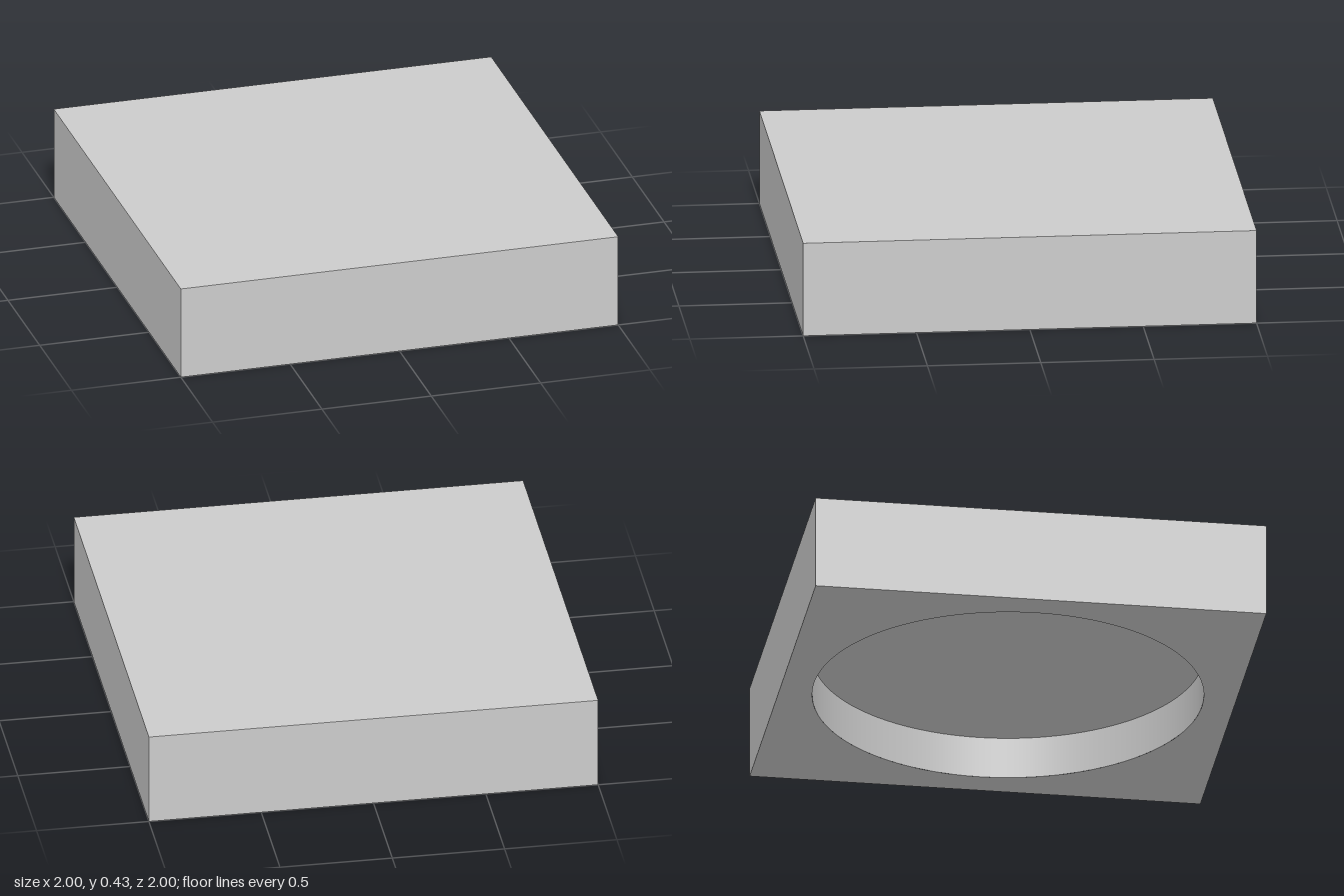
import * as THREE from 'three';

const HEIGHT = 0.425, RADIUS = 0.86, DEPTH = 0.19, RISE = 0.03, SEGMENTS = 96;

export function createModel() {
  const group = new THREE.Group();
  const material = new THREE.MeshStandardMaterial({ color: 0xcccccc });
  const add = (name, geometry) => {
    const mesh = new THREE.Mesh(geometry, material);
    mesh.name = name;
    group.add(mesh);
  };

  // Square block: top and four sides, with its bottom face left out
  const block = new THREE.BoxGeometry(2, HEIGHT, 2).translate(0, HEIGHT / 2, 0);
  const index = Array.from(block.index.array);
  index.splice(18, 6);
  block.setIndex(index);
  block.clearGroups();
  add('blockBody', block);

  // Underside with the round opening
  const face = new THREE.Shape([[-1, -1], [1, -1], [1, 1], [-1, 1]].map(([x, y]) => new THREE.Vector2(x, y)));
  face.holes.push(new THREE.Path().absarc(0, 0, RADIUS, 0, Math.PI * 2, true));
  add('underside', new THREE.ShapeGeometry(face, SEGMENTS).rotateX(Math.PI / 2));

  // Straight wall of the recess, facing inward
  add('recessWall', new THREE.LatheGeometry([
    new THREE.Vector2(RADIUS, DEPTH),
    new THREE.Vector2(RADIUS, 0),
  ], SEGMENTS));

  // Shallow domed ceiling of the recess, facing down
  const ceiling = [];
  for (let i = 0; i <= 12; i++) {
    const t = i / 12;
    ceiling.push(new THREE.Vector2(RADIUS * t, DEPTH + RISE * (1 - t * t)));
  }
  add('recessCeiling', new THREE.LatheGeometry(ceiling, SEGMENTS));

  return group;
}
